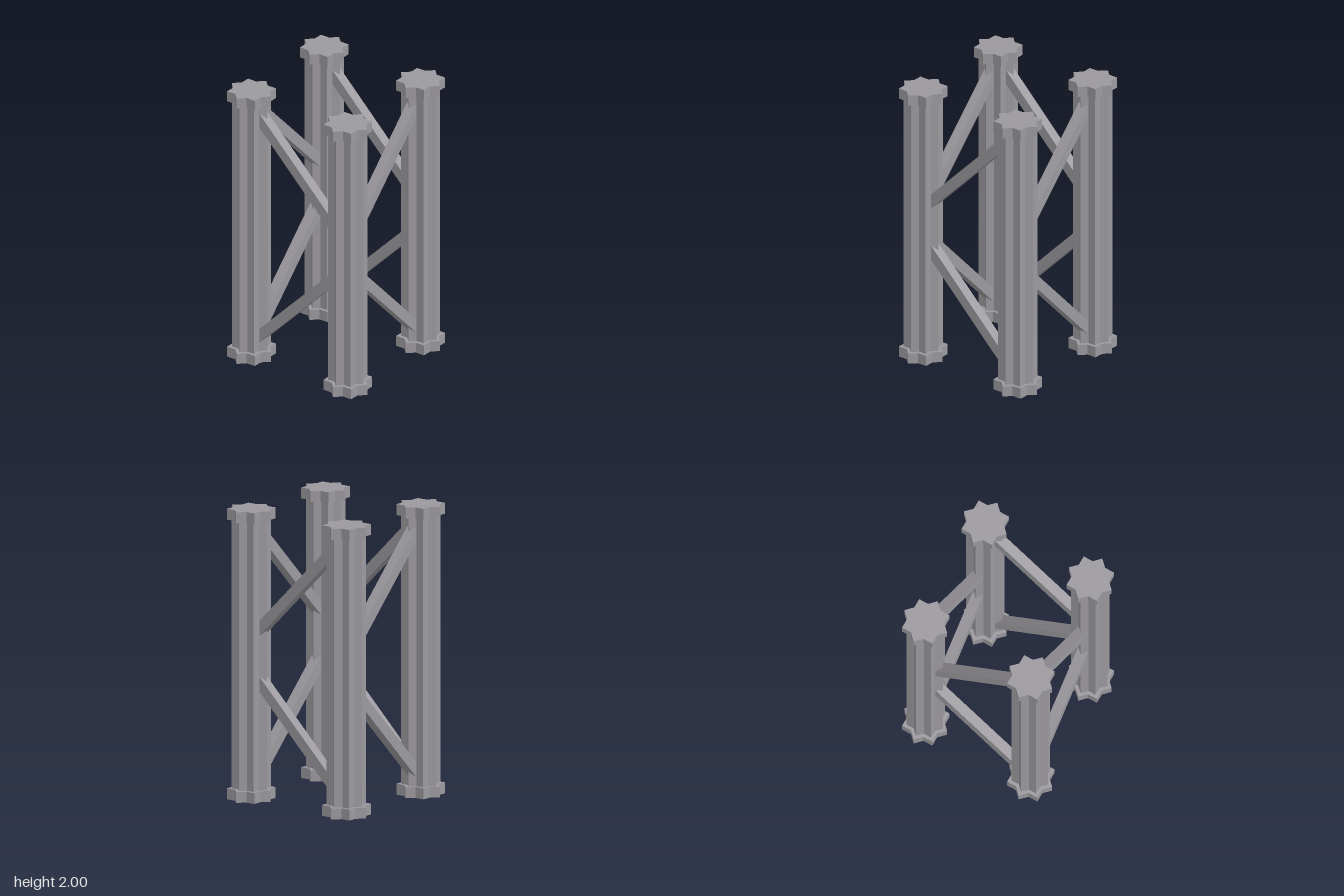
import * as THREE from 'three';

const SPREAD = 0.405; // column offset from the centre
const CAP_H = 0.075;

// Upright prism whose outline is two overlapping squares (eight-pointed star)
function starPrism(radius, y0, y1) {
  const inner = radius * Math.cos(Math.PI / 4) / Math.cos(Math.PI / 8);
  const points = [];
  for (let i = 0; i < 16; i++) {
    const r = i % 2 ? inner : radius;
    const a = i * Math.PI / 8;
    points.push(new THREE.Vector2(r * Math.cos(a), r * Math.sin(a)));
  }
  const geometry = new THREE.ExtrudeGeometry(new THREE.Shape(points), { depth: y1 - y0, bevelEnabled: false });
  geometry.rotateX(-Math.PI / 2);
  geometry.translate(0, y0, 0);
  return geometry;
}

export function createModel() {
  const model = new THREE.Group();
  const steel = new THREE.MeshStandardMaterial({ color: 0x9b999e });
  steel.name = 'grey steel';

  const add = (parent, name, geometry) => {
    const mesh = new THREE.Mesh(geometry, steel);
    mesh.name = name;
    parent.add(mesh);
    return mesh;
  };

  // Four star-section columns with wider end caps
  const shaft = starPrism(0.133, CAP_H, 2 - CAP_H);
  const foot = starPrism(0.165, 0, CAP_H);
  const head = starPrism(0.165, 2 - CAP_H, 2);
  for (const x of [-1, 1]) {
    for (const z of [-1, 1]) {
      const column = new THREE.Group();
      column.name = `${z > 0 ? 'front' : 'back'}${x > 0 ? 'Left' : 'Right'}Column`;
      column.position.set(x * SPREAD, 0, z * SPREAD);
      add(column, 'shaft', shaft);
      add(column, 'bottomCap', foot);
      add(column, 'topCap', head);
      model.add(column);
    }
  }

  // Two diagonal braces per side, ending inside the columns
  const brace = new THREE.BoxGeometry(SPREAD * 2 * Math.SQRT2, 0.073, 0.073);
  const sides = [
    { name: 'front', turn: 0, x: 0, z: SPREAD, slope: -1 },
    { name: 'back', turn: 0, x: 0, z: -SPREAD, slope: -1 },
    { name: 'left', turn: Math.PI / 2, x: SPREAD, z: 0, slope: 1 },
    { name: 'right', turn: Math.PI / 2, x: -SPREAD, z: 0, slope: -1 },
  ];
  for (const { name, turn, x, z, slope } of sides) {
    const side = new THREE.Group();
    side.name = `${name}Braces`;
    side.position.set(x, 0, z);
    side.rotation.y = turn;
    const upper = add(side, 'upperBrace', brace);
    upper.position.y = 1.5;
    upper.rotation.z = slope * Math.PI / 4;
    const lower = add(side, 'lowerBrace', brace);
    lower.position.y = 0.5;
    lower.rotation.z = -slope * Math.PI / 4;
    model.add(side);
  }
  return model;
}
